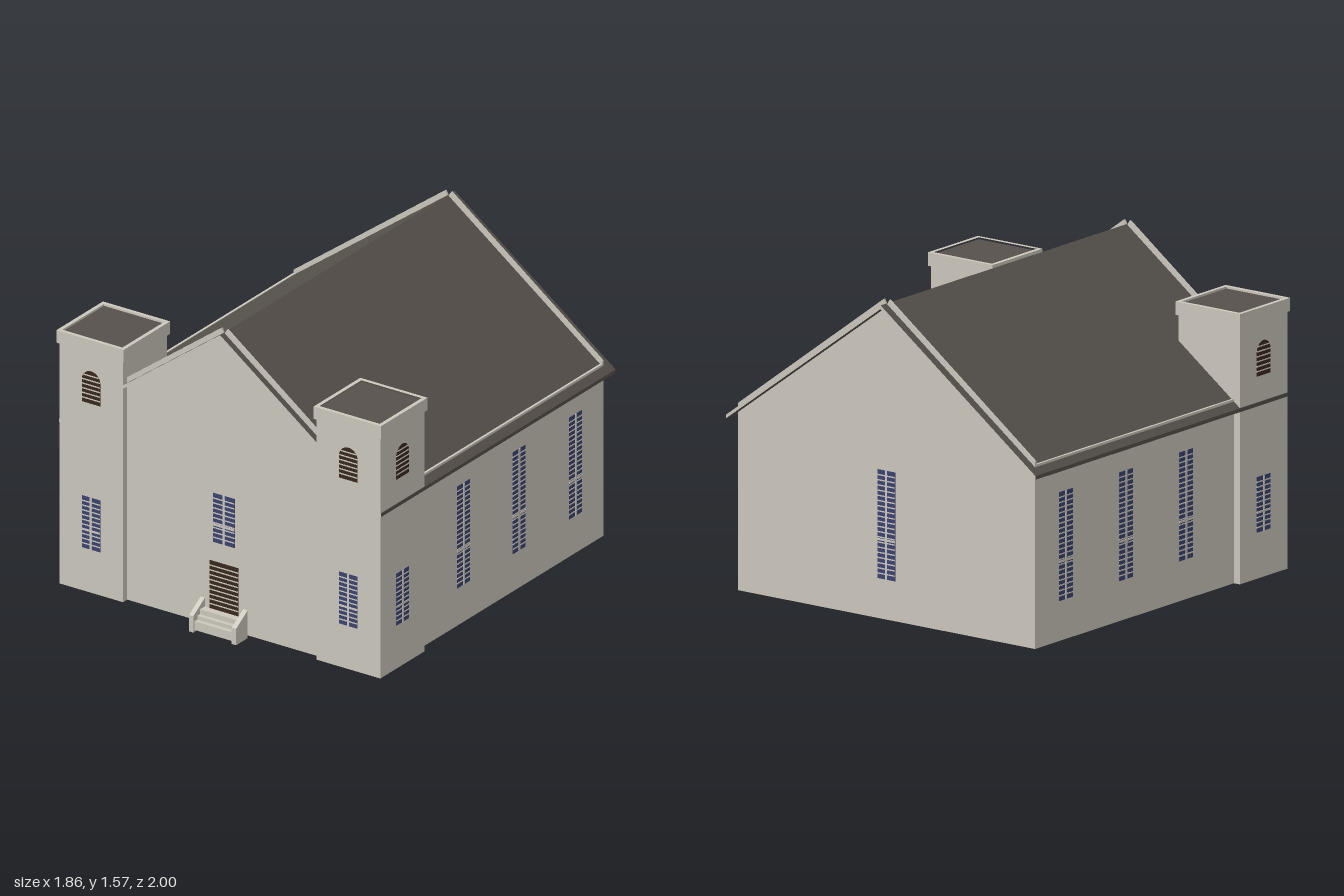
import * as THREE from 'three';

const material = (name, color) => {
  const m = new THREE.MeshStandardMaterial({ color });
  m.name = name;
  return m;
};

export function createModel() {
  const root = new THREE.Group();
  root.name = 'church';
  const stone = material('pale stone', 0xcbc7bc);
  const slate = material('dark slate', 0x56514b);
  const glass = material('blue glass', 0x3b4270);
  const timber = material('brown timber', 0x38281d);

  const add = (parent, name, geometry, mat, x = 0, y = 0, z = 0) => {
    const mesh = new THREE.Mesh(geometry, mat);
    mesh.name = name;
    mesh.position.set(x, y, z);
    parent.add(mesh);
    return mesh;
  };
  const box = (parent, name, mat, w, h, d, x, y, z) =>
    add(parent, name, new THREE.BoxGeometry(w, h, d), mat, x, y, z);
  const polygon = (points) => new THREE.Shape(points.map(([x, y]) => new THREE.Vector2(x, y)));
  const extrude = (shape, depth) =>
    new THREE.ExtrudeGeometry(shape, { depth, bevelEnabled: false, curveSegments: 16 });
  // plan outline given as (x, z), raised upward
  const raise = (shape, height) => extrude(shape, height).rotateX(-Math.PI / 2);
  const plan = (points) => polygon(points.map(([x, z]) => [x, -z]));

  const BASE = 0.015, WX = 0.885, FRONT = 0.905, BACK = -0.955, WALL = 0.012;
  const roofY = (x) => 1.555 - 0.74 * Math.abs(x);

  // Hollow nave walls, open underneath
  const gable = polygon([[-WX, BASE], [WX, BASE], [WX, roofY(WX) - 0.008], [0, 1.547], [-WX, roofY(WX) - 0.008]]);
  add(root, 'frontWall', extrude(gable, WALL), stone, 0, 0, FRONT - WALL);
  add(root, 'backWall', extrude(gable, WALL), stone, 0, 0, BACK);
  for (const s of [-1, 1]) {
    box(root, 'sideWall', stone, WALL, 0.897, FRONT - BACK, s * (WX - WALL / 2), BASE + 0.4485, (FRONT + BACK) / 2);
  }

  // Roof slopes with pale verge ends, and thin copings standing above them
  for (const s of [-1, 1]) {
    const slope = polygon([[0, roofY(0)], [s * 0.922, roofY(0.922)], [s * 0.922, roofY(0.922) - 0.018], [0, roofY(0) - 0.018]]);
    add(root, 'roofSlope', extrude(slope, 1.938), [stone, slate], 0, 0, -1);
    const coping = polygon([[0, 1.545], [s * 0.017, roofY(0.017) + 0.032], [s * WX, roofY(WX) + 0.027], [s * WX, roofY(WX) - 0.01]]);
    for (const z of [FRONT - WALL, BACK]) add(root, 'gableCoping', extrude(coping, WALL), stone, 0, 0, z);
  }

  // Window, louvre or door; local +z points out of the wall
  const opening = (name, mat, x, y0, z, turn, w, h, { arch = false, bars = true, depth = 0.004 } = {}) => {
    const g = new THREE.Group();
    g.name = name;
    g.position.set(x, y0, z);
    g.rotation.y = turn;
    const spring = h - w / 2;
    const shape = new THREE.Shape();
    shape.moveTo(-w / 2, 0);
    shape.lineTo(w / 2, 0);
    if (arch) {
      shape.lineTo(w / 2, spring);
      shape.absarc(0, spring, w / 2, 0, Math.PI, false);
    } else {
      shape.lineTo(w / 2, h);
      shape.lineTo(-w / 2, h);
    }
    add(g, 'pane', extrude(shape, depth), mat, 0, 0, 0.002 - depth);
    // horizontal slats
    const rows = Math.round(h / 0.0255);
    for (let i = 1; i < rows; i++) {
      const y = (h * i) / rows;
      const rise = arch ? Math.max(0, y - spring) : 0;
      const width = 2 * Math.sqrt((w / 2) ** 2 - rise ** 2);
      box(g, 'slat', stone, width, 0.006, 0.004, 0, y, 0.002);
    }
    // sash bars
    if (bars) {
      box(g, 'mullion', stone, 0.012, h, 0.004, 0, h / 2, 0.003);
      box(g, 'meetingRail', stone, w, 0.01, 0.004, 0, h * 0.36, 0.003);
    }
    root.add(g);
  };

  const through = { depth: WALL + 0.004 };
  for (const s of [-1, 1]) {
    for (const z of [0.205, -0.255, -0.72]) {
      opening('sideWindow', glass, s * WX, 0.21, z, s * Math.PI / 2, 0.105, 0.53, through);
    }
  }
  opening('backWindow', glass, 0, 0.21, BACK, Math.PI, 0.105, 0.53, through);
  opening('frontWindow', glass, 0, 0.45, FRONT, 0, 0.125, 0.255, through);
  opening('door', timber, 0, 0.1, FRONT, 0, 0.165, 0.25, { bars: false, ...through });

  // Faint round moulding in the front gable
  add(root, 'gableRing', new THREE.RingGeometry(0.13, 0.18, 40), stone, 0, 1.12, FRONT + 0.002);

  // Corner towers
  const IN = 0.555, OUT = 0.92, TZ0 = 0.575, TZ1 = 0.94;
  const ring = (s, grow, wall) => {
    const a = IN - grow, b = OUT + grow, c = TZ0 - grow, d = TZ1 + grow;
    const rect = (i) => [[s * (a + i), c + i], [s * (b - i), c + i], [s * (b - i), d - i], [s * (a + i), d - i]];
    const shape = plan(rect(0));
    shape.holes.push(plan(rect(wall)));
    return shape;
  };
  for (const s of [-1, 1]) {
    const cx = s * (IN + OUT) / 2, cz = (TZ0 + TZ1) / 2;
    const wrap = plan([[s * IN, TZ1], [s * OUT, TZ1], [s * OUT, TZ0], [s * WX, TZ0], [s * WX, FRONT], [s * IN, FRONT]]);
    add(root, 'towerBase', raise(wrap, 0.86 - BASE), stone, 0, BASE, 0);
    add(root, 'towerShaft', raise(ring(s, 0, 0.01), 0.415), stone, 0, 0.86, 0);
    add(root, 'towerCap', raise(ring(s, 0.01, 0.02), 0.065), stone, 0, 1.27, 0);
    box(root, 'towerRoof', slate, 0.35, 0.02, 0.35, cx, 1.315, cz);
    opening('towerFrontWindow', glass, cx, 0.24, TZ1, 0, 0.105, 0.27);
    opening('towerSideWindow', glass, s * OUT, 0.24, cz, s * Math.PI / 2, 0.105, 0.27);
    const louvre = { arch: true, bars: false };
    opening('towerFrontLouvre', timber, cx, 1.0, TZ1, 0, 0.105, 0.168, louvre);
    opening('towerSideLouvre', timber, s * OUT, 1.0, cz, s * Math.PI / 2, 0.105, 0.168, louvre);
  }

  // Entrance steps between sloping cheek walls
  [[0.055, 0.99], [0.075, 0.967], [0.1, 0.945]].forEach(([top, z]) => {
    box(root, 'step', stone, 0.22, top - 0.01, z - FRONT, 0, (top + 0.01) / 2, (z + FRONT) / 2);
  });
  const cheek = polygon([[-FRONT, 0], [-1, 0], [-1, 0.085], [-FRONT, 0.145]]);
  for (const s of [-1, 1]) {
    const geo = extrude(cheek, 0.025).rotateY(Math.PI / 2);
    add(root, 'stepCheek', geo, stone, s * 0.1225 - 0.0125, 0, 0);
  }

  return root;
}
